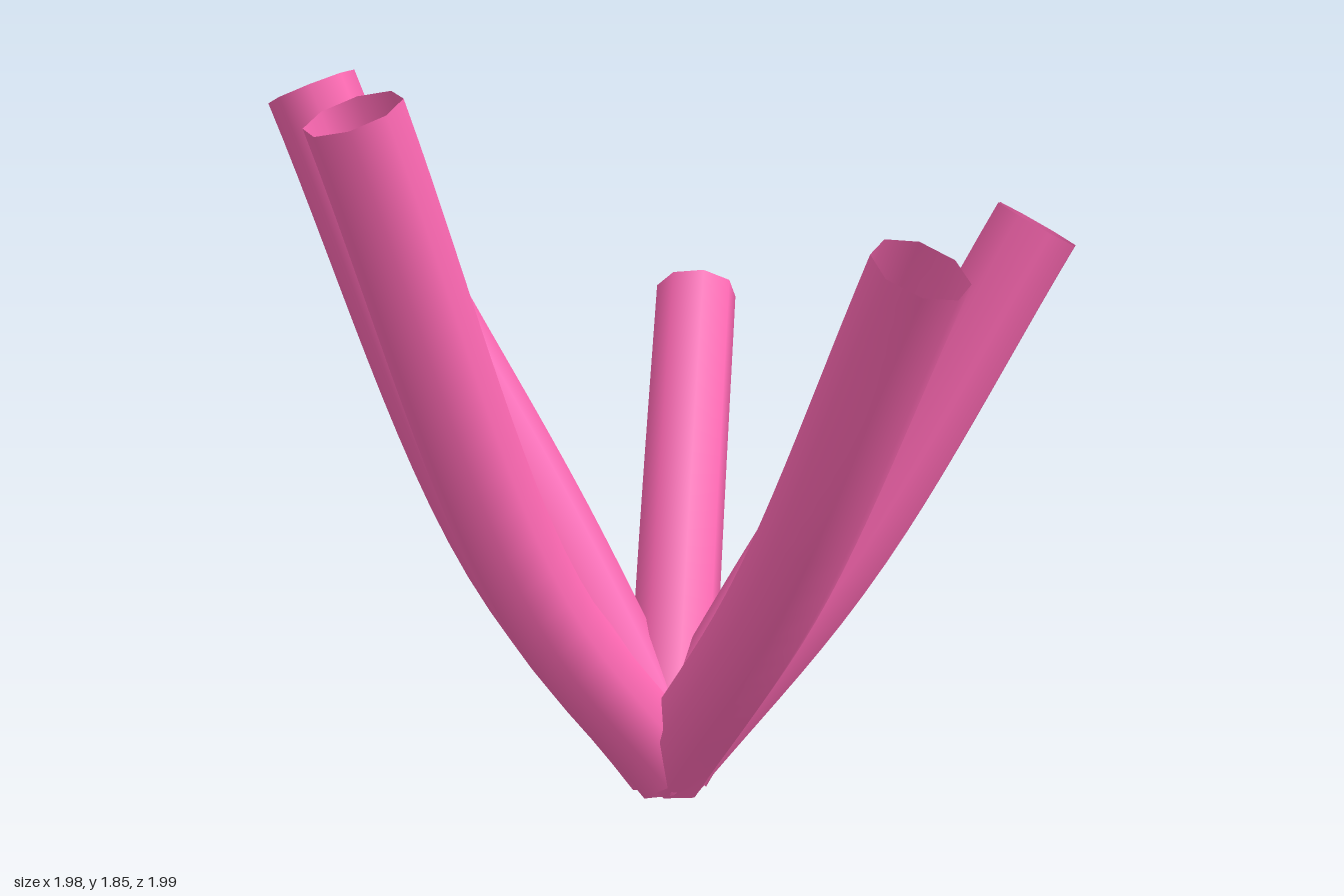
import * as THREE from 'three';

// Cluster of open tubes fanning out from a shared base
export function createModel() {
  const group = new THREE.Group();
  group.name = 'tubeCluster';
  const material = new THREE.MeshStandardMaterial({ color: 0xff69b4, side: THREE.DoubleSide });
  const radius = 0.1155;
  const base = new THREE.Vector3(0.02, 0.07, 0);

  // Tip of each tube: x, height, z
  const tips = [
    [-0.89, 1.808, -0.085],
    [-0.465, 1.808, -0.775],
    [-0.14, 1.487, 0.89],
    [0.02, 1.167, -0.91],
    [0.74, 1.167, -0.565],
    [0.635, 1.487, 0.665],
    [0.9, 1.167, 0.23],
  ];

  tips.forEach(([x, y, z], i) => {
    const tip = new THREE.Vector3(x, y, z);
    // All tubes bend at the same height, just short of half way out
    const bend = base.clone().lerp(tip, 0.485).setY(0.64);
    const curve = new THREE.CatmullRomCurve3([base, bend, tip]);
    const tube = new THREE.Mesh(new THREE.TubeGeometry(curve, 20, radius, 8, false), material);
    tube.name = `tube${i + 1}`;
    group.add(tube);
  });
  return group;
}
